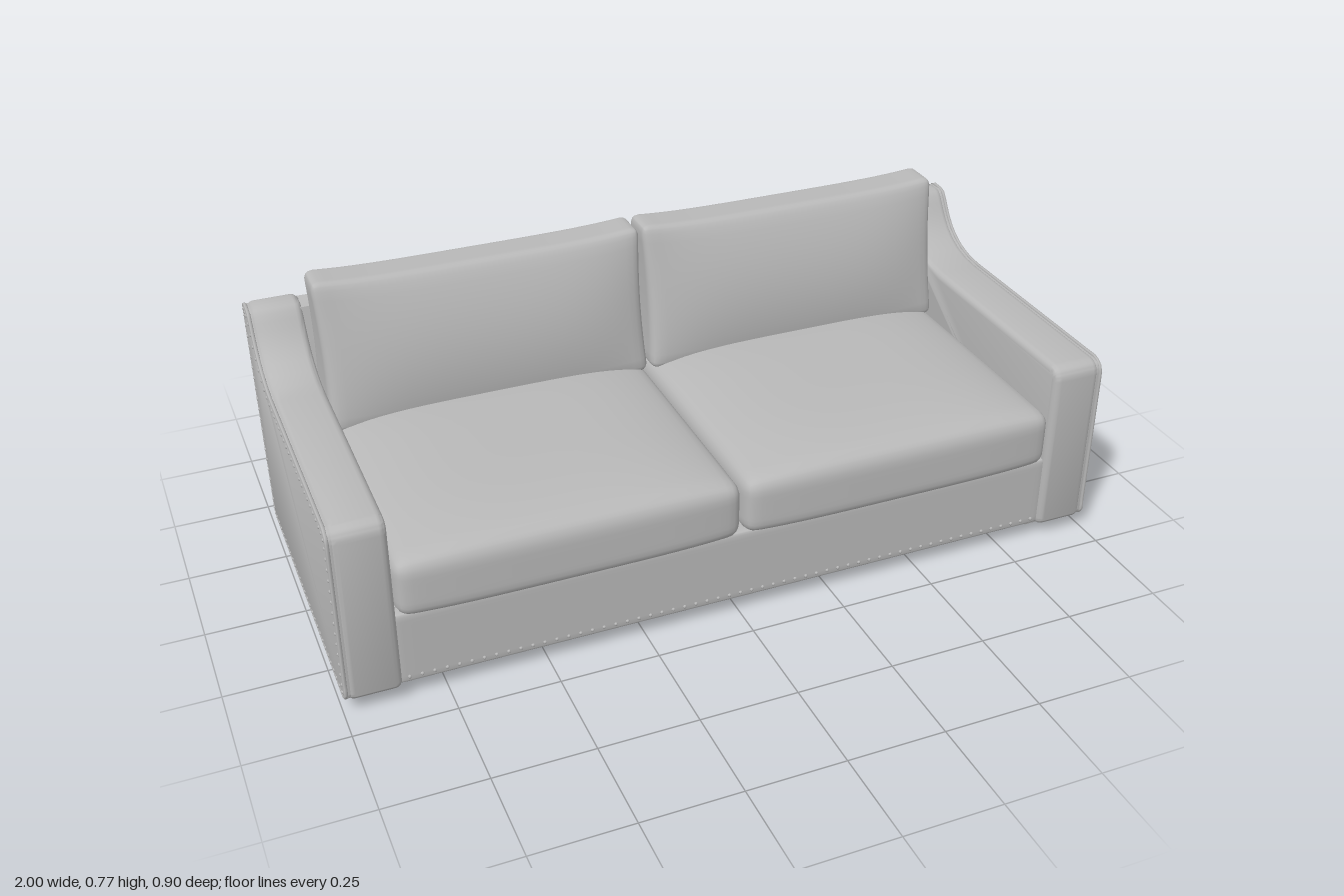
import * as THREE from 'three';
import { mergeGeometries, mergeVertices, toCreasedNormals } from 'three/addons/utils/BufferGeometryUtils.js';

const upholstery = new THREE.MeshStandardMaterial({ color: 0xb8b8b8 });
upholstery.name = 'grey upholstery';

function add(group, name, geometry) {
  const mesh = new THREE.Mesh(geometry, upholstery);
  mesh.name = name;
  group.add(mesh);
  return mesh;
}

// Side outline of an arm, drawn as (-z, y)
function armShape() {
  const s = new THREE.Shape();
  s.moveTo(-0.41, 0.038);
  s.lineTo(0.375, 0.045);
  s.quadraticCurveTo(0.392, 0.045, 0.394, 0.065);
  s.lineTo(0.45, 0.645);
  s.quadraticCurveTo(0.45, 0.655, 0.44, 0.655);
  s.lineTo(0.4, 0.657);
  s.bezierCurveTo(0.355, 0.655, 0.36, 0.515, 0.16, 0.515);
  s.lineTo(-0.395, 0.512);
  s.quadraticCurveTo(-0.43, 0.51, -0.432, 0.475);
  s.lineTo(-0.432, 0.06);
  s.quadraticCurveTo(-0.43, 0.038, -0.41, 0.038);
  return s;
}

// Extrude a (-z, y) outline along x with rounded edges, between x0 and x1
function extrudeX(shape, x0, x1, bevel, inset = 0) {
  const g = new THREE.ExtrudeGeometry(shape, {
    depth: x1 - x0 - 2 * bevel, curveSegments: 10, bevelEnabled: true,
    bevelSize: bevel, bevelThickness: bevel, bevelOffset: -bevel - inset, bevelSegments: 4,
  });
  g.rotateY(Math.PI / 2).translate(x0 + bevel, 0, 0);
  return toCreasedNormals(g, 0.7);
}

// Rounded box with dense edges, then shaped by rule(point, u, v, w), u/v/w in -1..1
function cushion(hx, hy, hz, r, rule) {
  let g = new THREE.BoxGeometry(2, 2, 2, 28, 14, 22);
  const pos = g.attributes.position;
  const half = new THREE.Vector3(hx, hy, hz);
  const core = half.clone().subScalar(r);
  const low = core.clone().negate();
  const p = new THREE.Vector3(), q = new THREE.Vector3();
  const ease = (t) => Math.sin(t * Math.PI / 2);
  for (let i = 0; i < pos.count; i++) {
    p.fromBufferAttribute(pos, i);
    p.set(ease(p.x), ease(p.y), ease(p.z)).multiply(half);
    q.copy(p).clamp(low, core);
    p.sub(q).setLength(r).add(q);
    rule(p, p.x / hx, p.y / hy, p.z / hz);
    pos.setXYZ(i, p.x, p.y, p.z);
  }
  g.deleteAttribute('uv');
  g.deleteAttribute('normal');
  g = mergeVertices(g, 1e-5);
  g.computeVertexNormals();
  return g;
}

// Merge small nail heads at a list of points
function nails(points, radius = 0.005) {
  return mergeGeometries(points.map((p) => new THREE.SphereGeometry(radius, 6, 4).translate(p.x, p.y, p.z)));
}

// Points along the arm outline, moved inward, at a given x
function outlinePoints(count, inset, x) {
  const pts = armShape().getSpacedPoints(count);
  pts.pop();
  return pts.map((p, i) => {
    const a = pts[(i + pts.length - 1) % pts.length], b = pts[(i + 1) % pts.length];
    const t = b.clone().sub(a).normalize();
    return new THREE.Vector3(x, p.y + t.x * inset, -(p.x - t.y * inset));
  });
}

// Tapered block foot
function foot() {
  const g = new THREE.BoxGeometry(0.11, 0.05, 0.115);
  const pos = g.attributes.position;
  for (let i = 0; i < pos.count; i++) {
    if (pos.getY(i) < 0) pos.setXYZ(i, pos.getX(i) * 0.82, pos.getY(i), pos.getZ(i) * 0.8);
  }
  g.computeVertexNormals();
  return g.translate(0, 0.025, 0);
}

export function createModel() {
  const sofa = new THREE.Group();
  sofa.name = 'sofa';

  // Base and front rail
  add(sofa, 'base', cushion(0.868, 0.1, 0.395, 0.012, (p) => { p.y += 0.143; p.z += 0.025; }));
  add(sofa, 'railNails', nails(Array.from({ length: 57 },
    (_, i) => new THREE.Vector3(-0.84 + i * 0.03, 0.062, 0.42))));

  // Leaning back panel
  const back = new THREE.Shape([[0.32, 0.045], [0.396, 0.045], [0.453, 0.642], [0.385, 0.642]]
    .map(([a, b]) => new THREE.Vector2(a, b)));
  add(sofa, 'backPanel', extrudeX(back, -0.982, 0.982, 0.01));

  for (const side of [1, -1]) {
    const label = side > 0 ? 'left' : 'right';

    // Arm body, outer panel, welt and nail heads
    const arm = new THREE.Group();
    arm.name = label + 'Arm';
    sofa.add(arm);
    const span = (a, b) => (side > 0 ? [a, b] : [-b, -a]);
    add(arm, 'armBody', extrudeX(armShape(), ...span(0.858, 0.988), 0.018));
    add(arm, 'armOuterPanel', extrudeX(armShape(), ...span(0.965, 0.996), 0.008, 0.004));
    const welt = new THREE.CatmullRomCurve3(outlinePoints(90, 0.004, side * 0.992), true);
    add(arm, 'armWelt', new THREE.TubeGeometry(welt, 180, 0.005, 6, true));
    add(arm, 'armNails', nails(outlinePoints(96, 0.017, side * 0.9945)));

    // Seat cushion with a crowned top and bulging front
    const seat = cushion(0.427, 0.075, 0.385, 0.035, (p, u, v, w) => {
      const across = 1 - u ** 4;
      p.y += 0.31 + (v > 0 ? 0.042 * v * across * (1 - 0.75 * w ** 4) : 0);
      p.z += 0.05 + (w > 0 ? 0.014 * w * across : 0);
      p.x += side * 0.43;
    });
    add(sofa, label + 'SeatCushion', seat);

    // Back cushion, tapering and leaning, plump in the middle
    const rest = cushion(0.427, 0.19, 0.075, 0.024, (p, u, v, w) => {
      const plump = (1 - u ** 4) * (1 - v * v);
      const t = (v + 1) / 2;
      p.z = -0.252 - 0.03 * t + w * (0.085 - 0.034 * t + plump * (w > 0 ? 0.035 : 0.048));
      p.y += 0.572 + (v > 0 ? 0.012 * v * u ** 4 : 0);
      p.x += side * 0.43 - u * 0.008 * (1 - v * v);
    });
    add(sofa, label + 'BackCushion', rest);

    // Feet
    for (const [end, z] of [['Front', 0.318], ['Back', -0.285]]) {
      add(sofa, label + end + 'Foot', foot()).position.set(side * 0.912, 0, z);
    }
  }
  return sofa;
}
